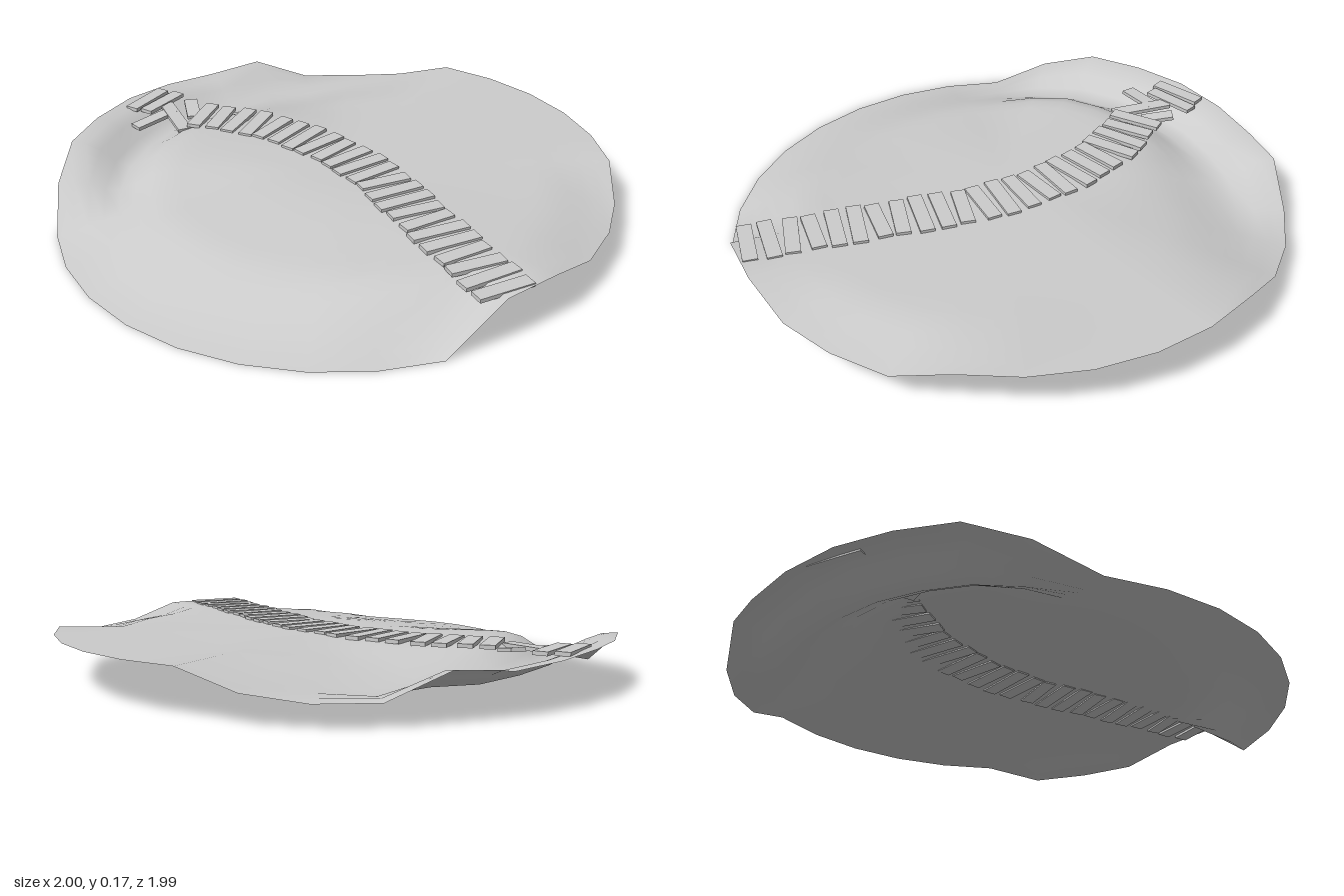
import * as THREE from 'three';

const SIDES = 30, RINGS = 18, LEVEL = 0.16, TOP = 0.165;
const smooth = (a, b, v) => THREE.MathUtils.smoothstep(v, a, b);

// Rim height every 12 degrees, starting at +x and turning towards +z
const RIM = [
  0.105, 0.11, 0.115, 0.165, TOP, 0, 0, 0, 0, 0, 0, 0, 0, 0, 0.1,
  TOP, TOP, TOP, 0.155, 0.145, TOP, 0.078, 0.076, 0.1, TOP, TOP, TOP, TOP, TOP, TOP,
];

// Ground height: level plateau, a gentle fall then a steeper one to the rim,
// with a gully around the left side
function groundHeight(step, r) {
  const deg = step * 12;
  const ledge = 1 - smooth(56, 105, deg); // ground stays high beside the path end
  const start = 0.62 + 0.14 * ledge;
  const gentle = 0.33 * (1 - 0.7 * ledge) * smooth(0.12, 0.8, r);
  const t = Math.max(0, (r - start) / (1 - start));
  const steep = (t + smooth(0, 1, t)) / 2;
  let y = LEVEL + (RIM[step] - LEVEL) * (gentle + (1 - 0.33 * (1 - 0.7 * ledge)) * steep);

  const mask = smooth(155, 172, deg) * (1 - smooth(240, 272, deg));
  const back = smooth(205, 245, deg);
  const axis = 0.79 + 0.02 * back;
  const width = r < axis ? 0.1 + 0.16 * back : 0.09;
  const ditch = Math.exp(-(((r - axis) / width) ** 2));
  y -= 0.085 * mask * ditch * Math.min(1, y / LEVEL);
  return Math.max(0, y);
}

function groundGeometry() {
  const pos = [0, LEVEL, 0], index = [];
  for (let i = 1; i <= RINGS; i++) {
    const r = i / RINGS;
    for (let j = 0; j < SIDES; j++) {
      const a = (j / SIDES) * Math.PI * 2;
      pos.push(r * Math.cos(a), groundHeight(j, r), r * Math.sin(a));
    }
  }
  const at = (i, j) => 1 + (i - 1) * SIDES + (j % SIDES);
  for (let j = 0; j < SIDES; j++) {
    index.push(0, at(1, j + 1), at(1, j));
    for (let i = 1; i < RINGS; i++) {
      const a = at(i, j), b = at(i, j + 1), c = at(i + 1, j), d = at(i + 1, j + 1);
      index.push(a, b, d, a, d, c);
    }
  }
  const geo = new THREE.BufferGeometry();
  geo.setAttribute('position', new THREE.Float32BufferAttribute(pos, 3));
  geo.setIndex(index);
  geo.computeVertexNormals();
  return geo;
}

export function createModel() {
  const model = new THREE.Group();
  model.name = 'plankPathTerrain';
  const groundMat = new THREE.MeshStandardMaterial({ color: 0xcccccc, side: THREE.DoubleSide });
  const plankMat = new THREE.MeshStandardMaterial({ color: 0xcccccc });

  const ground = new THREE.Mesh(groundGeometry(), groundMat);
  ground.name = 'ground';
  model.add(ground);

  const path = new THREE.Group();
  path.name = 'plankPath';
  model.add(path);
  const board = new THREE.BoxGeometry(0.052, 0.014, 0.2);
  const addPlank = (name, x, y, z, yaw, tilt = 0, length = 1) => {
    const plank = new THREE.Mesh(board, plankMat);
    plank.name = name;
    plank.position.set(x, y, z);
    plank.rotation.set(tilt, yaw, 0, 'YXZ');
    plank.scale.z = length;
    path.add(plank);
  };

  // Main run of planks laid across a curved path, each slightly askew
  const curve = new THREE.CatmullRomCurve3([
    [0.65, 0.69], [0.48, 0.47], [0.32, 0.26], [0.13, 0.02],
    [-0.1, -0.16], [-0.34, -0.27], [-0.58, -0.31],
  ].map(([x, z]) => new THREE.Vector3(x, 0, z)));
  const COUNT = 23;
  for (let i = 0; i < COUNT; i++) {
    const p = curve.getPointAt(i / (COUNT - 1));
    const t = curve.getTangentAt(i / (COUNT - 1));
    const yaw = Math.atan2(t.z, -t.x) + 0.08 * Math.sin(i * 2.4);
    addPlank('plank', p.x, 0.162, p.z, yaw, 0, 1 + 0.06 * Math.sin(i * 1.7));
  }

  // Far bank planks
  addPlank('farPlank', -0.84, 0.162, -0.41, -0.35);
  addPlank('farPlank', -0.775, 0.16, -0.4, -0.4);

  // Loose planks fallen across the gully
  addPlank('loosePlank', -0.69, 0.15, -0.3, 0.62, 0.05, 1.15);
  addPlank('loosePlank', -0.77, 0.145, -0.28, -0.65, 0.08, 0.9);
  addPlank('loosePlank', -0.645, 0.152, -0.38, 0.4, 0.15, 0.6);

  return model;
}
